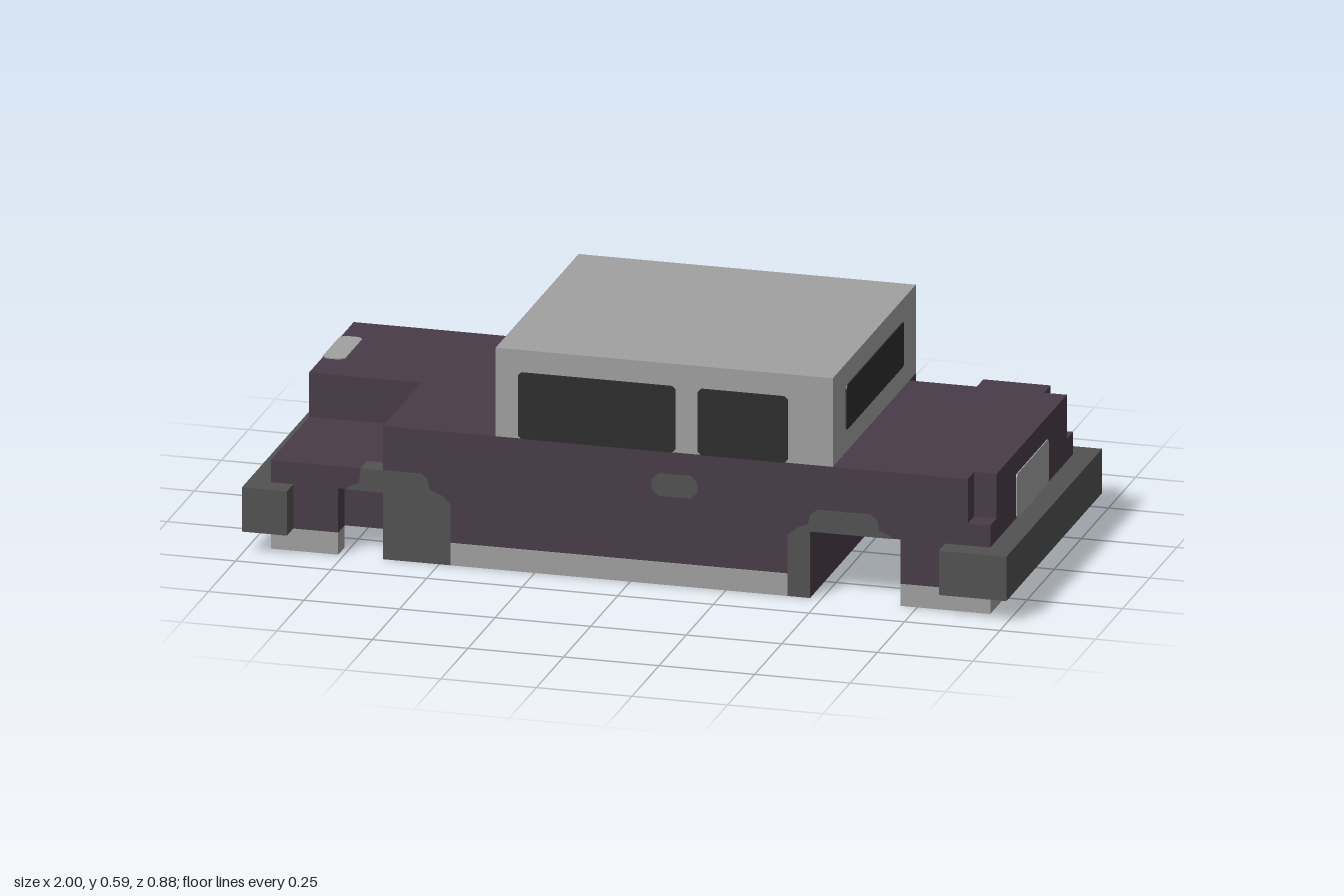
import * as THREE from 'three';

const U = 1 / 17; // block size: the car is 34 blocks long
const mat = (name, color) => {
  const m = new THREE.MeshStandardMaterial({ color });
  m.name = name;
  return m;
};

export function createModel() {
  const purple = mat('bodyPurple', 0x483b48);
  const light = mat('lightGrey', 0xa0a0a0);
  const dark = mat('darkGrey', 0x525252);
  const glass = mat('windowBlack', 0x2d2d2d);
  const model = new THREE.Group();
  model.name = 'blockCar';

  // Box from block coordinates
  function box(name, m, x0, x1, y0, y1, z0, z1) {
    const mesh = new THREE.Mesh(new THREE.BoxGeometry((x1 - x0) * U, (y1 - y0) * U, (z1 - z0) * U), m);
    mesh.position.set((x0 + x1) / 2 * U, (y0 + y1) / 2 * U, (z0 + z1) / 2 * U);
    mesh.name = name;
    model.add(mesh);
  }

  // Thin painted plate from an outline in block coordinates, centred on its surface
  function plate(name, m, pts, place) {
    const shape = new THREE.Shape(pts.map(([x, y]) => new THREE.Vector2(x * U, y * U)));
    const geo = new THREE.ExtrudeGeometry(shape, { depth: 0.006, bevelEnabled: false });
    geo.translate(0, 0, -0.003);
    const mesh = new THREE.Mesh(geo, m);
    mesh.name = name;
    place(mesh);
    model.add(mesh);
  }
  const onSide = z => mesh => { mesh.position.z = z * U; };
  const onEnd = x => mesh => { mesh.rotation.y = -Math.PI / 2; mesh.position.x = x * U; };
  const rounded = (x0, x1, y0, y1, c) => [
    [x0 + c, y0], [x1 - c, y0], [x1, y0 + c], [x1, y1 - c],
    [x1 - c, y1], [x0 + c, y1], [x0, y1 - c], [x0, y0 + c]];

  // Main body
  box('bodyCentre', purple, -8, 8, 0, 6, -6.5, 6.5);

  // Right end, with a missing corner and a broken wheel arch
  box('rightBodyInner', purple, -11, -8, 1, 6, -6.5, 6.5);
  box('rightBodyHigh', purple, -16, -11, 1, 6, -6.5, 0.5);
  box('rightBodyLow', purple, -16, -11, 1, 4, 0.5, 5.5);
  box('rightBodyCorner', purple, -16, -13, 1, 4, 5.5, 6.5);
  box('rightArchTop', purple, -13, -12, 3, 4, 5.5, 6.5);
  box('rightArchTopDark', dark, -12, -11, 3, 4, 5.5, 6.5);

  // Left end, with an open tunnel and a gap in the back wall
  box('leftTunnelRoof', purple, 8, 12, 3, 6, -5.5, 6.5);
  box('leftBackPillar', purple, 8, 9, 4, 6, -6.5, -5.5);
  box('leftBackPillarDark', dark, 8, 9, 0, 4, -6.5, -5.5);
  box('leftBackSill', dark, 9, 12, 0, 2, -6.5, -5.5);
  box('leftBody', purple, 12, 15, 1, 6, -6.5, 6.5);
  box('leftNoseLow', purple, 15, 16, 1, 4, -6.5, 6.5);
  box('leftNoseHigh', purple, 15, 16, 4, 6, -5.5, 5.5);

  // Skirt: hollow rings under both ends, painted strips in the middle
  box('rightSkirt', light, -16, -15, 0, 1, -6.5, 6.5);
  box('leftSkirt', light, 15, 16, 0, 1, -6.5, 6.5);
  for (const [z0, z1] of [[-6.5, -5.5], [5.5, 6.5]]) {
    box('rightSkirtSide', light, -15, -13, 0, 1, z0, z1);
    box('leftSkirtSide', light, 12, 15, 0, 1, z0, z1);
  }
  box('rightArchSkirtBack', dark, -13, -8, 0, 1, -6.5, -5.5);
  box('rightArchSkirtFront', dark, -11, -8, 0, 1, 5.5, 6.5);
  for (const z of [-6.5, 6.5]) {
    plate('skirtStrip', light, [[-8, 0], [7, 0], [7, 1], [-8, 1]], onSide(z));
  }

  // Wheel patches, drawn outward from the inner edge of each arch
  const inner = [[0, 0], [0, 2.75], [0.4, 3.1], [0.9, 3.3], [1, 3.75], [1.3, 4]];
  const outer = [[3.7, 4], [4, 3.75], [4.1, 3.3], [4.6, 3.1]];
  const broken = w => [...inner, ...outer, [4.6, 3], [w, 3], [w, 0]];
  const toLeft = pts => pts.map(([x, y]) => [7 + x, y]);
  const toRight = pts => pts.map(([x, y]) => [-8 - x, y]);
  plate('frontLeftWheel', dark, toLeft(broken(1)), onSide(6.5));
  plate('frontRightWheel', dark, toRight(broken(3)), onSide(6.5));
  plate('backLeftWheel', dark, toLeft([...inner, [2, 4], [2, 2], [5, 2], [5, 0]]), onSide(-6.5));
  plate('backRightWheel', dark, toRight([...inner, ...outer, [5, 2.75], [5, 0]]), onSide(-6.5));

  // Bumpers with wrapped ends
  for (const [name, x0, x1, e0, e1] of [
    ['rightBumper', -17, -16, -17, -15], ['leftBumper', 16, 17, 14, 17]]) {
    box(name, dark, x0, x1, 1, 3, -6.5, 6.5);
    box(name + 'End', dark, e0, e1, 1, 3, 6.5, 7.5);
    box(name + 'End', dark, e0, e1, 1, 3, -7.5, -6.5);
  }

  // Cabin, windows and door handles
  box('cabin', light, -6, 9, 6, 10, -6.5, 6.5);
  for (const z of [-6.5, 6.5]) {
    plate('longSideWindow', glass, rounded(-5, 2, 6, 9, 0.15), onSide(z));
    plate('shortSideWindow', glass, rounded(3, 7, 6, 9, 0.15), onSide(z));
    plate('doorHandle', dark, rounded(0.95, 3, 4, 5, 0.3), onSide(z));
  }
  for (const x of [-6, 9]) {
    plate('endWindow', glass, rounded(-4.5, 4.5, 7, 9, 0.12), onEnd(x));
  }

  // End panel and the remaining lamp, which wraps over the top edge
  plate('endPanel', light, rounded(-2.5, 2.5, 3, 5, 0.12), onEnd(16));
  plate('lamp', light, rounded(-4.5, -1.5, 4, 6, 0.25), onEnd(-16));
  plate('lampTop', light, rounded(-16, -15, 1.5, 4.5, 0.2), mesh => {
    mesh.rotation.x = -Math.PI / 2;
    mesh.position.y = 6 * U;
  });
  return model;
}
